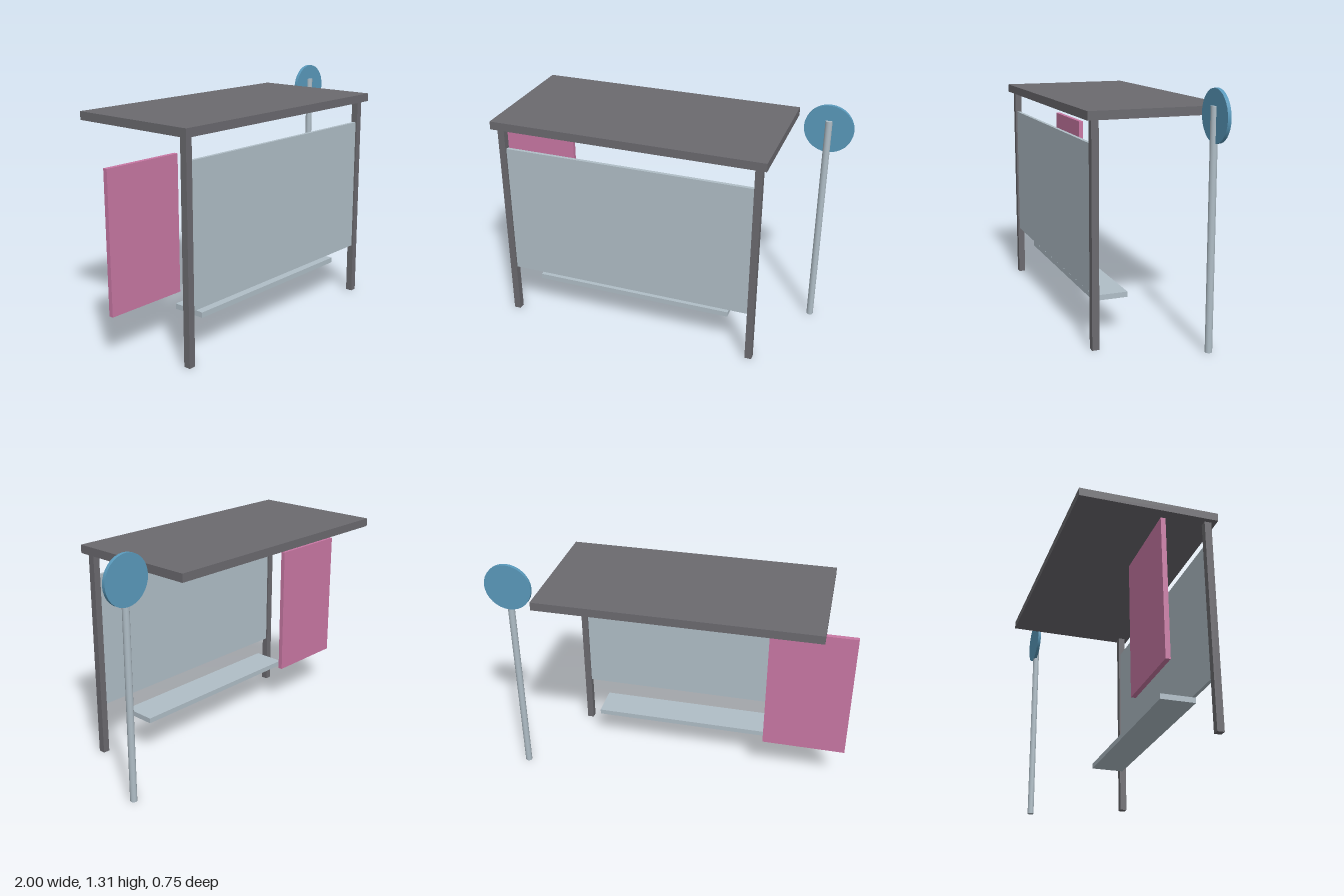
import * as THREE from 'three';

const material = (name, color) => {
  const m = new THREE.MeshStandardMaterial({ color });
  m.name = name;
  return m;
};

export function createModel() {
  const group = new THREE.Group();
  group.name = 'busShelter';

  const darkGrey = material('dark grey', 0x6b6a6f);
  const paleBlueGrey = material('pale blue grey', 0xb0bec7);
  const pink = material('pink', 0xc978a4);
  const blue = material('blue', 0x5a9abc);

  const add = (name, geometry, mat, x, y, z) => {
    const mesh = new THREE.Mesh(geometry, mat);
    mesh.name = name;
    mesh.position.set(x, y, z);
    group.add(mesh);
    return mesh;
  };
  const box = (name, mat, w, h, d, x, y, z) =>
    add(name, new THREE.BoxGeometry(w, h, d), mat, x, y, z);

  const centreX = -0.08; // middle of the shelter
  const wallZ = 0.33; // line of the posts and the glazed wall

  // Roof slab and the two posts carrying it
  box('roof', darkGrey, 1.506, 0.045, 0.753, centreX, 1.185, 0);
  for (const side of [-1, 1]) {
    box(side < 0 ? 'rightPost' : 'leftPost', darkGrey,
      0.038, 1.164, 0.038, centreX + side * 0.708, 0.582, wallZ);
  }

  // Wall panel between the posts
  box('wallPanel', paleBlueGrey, 1.384, 0.753, 0.019, centreX, 0.665, wallZ);

  // Bench seat
  box('benchSeat', paleBlueGrey, 1.13, 0.029, 0.188, centreX, 0.215, 0.189);

  // Advertising panel at the end
  box('posterPanel', pink, 0.471, 0.753, 0.025, -0.7645, 0.617, 0);

  // Stop sign: round plate behind the top of a pole
  const signX = 0.864;
  add('signPole', new THREE.CylinderGeometry(0.0188, 0.0188, 1.23, 12),
    paleBlueGrey, signX, 0.615, -0.1885);
  const plate = add('signPlate', new THREE.CylinderGeometry(0.1318, 0.1318, 0.0188, 32),
    blue, signX + 0.002, 1.183, -0.198);
  plate.rotation.x = Math.PI / 2;

  return group;
}
